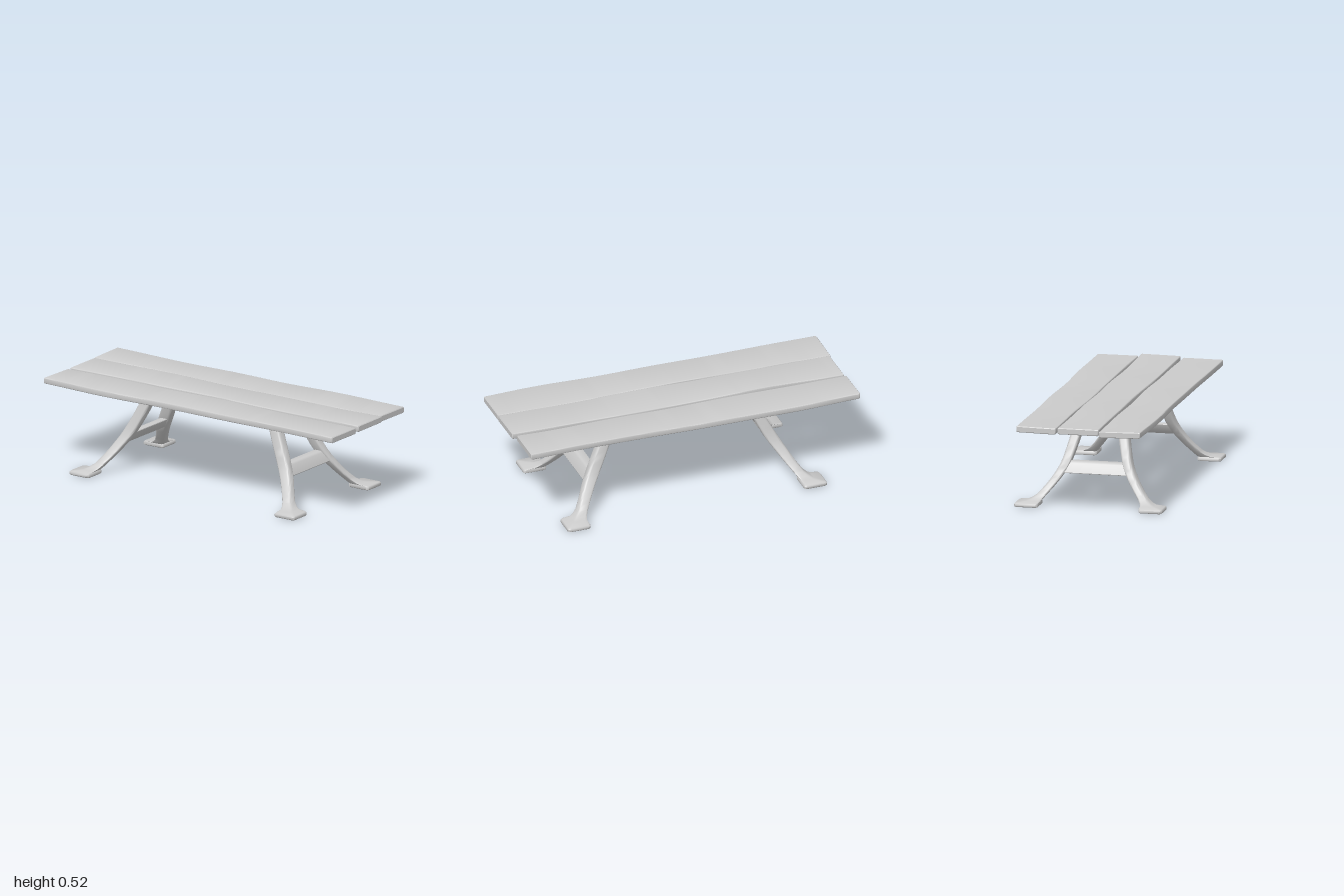
import * as THREE from 'three';
import { toCreasedNormals } from 'three/addons/utils/BufferGeometryUtils.js';

const material = new THREE.MeshStandardMaterial({ color: 0xcccccc });

// Rectangle outline with rounded corners, as counter-clockwise [u, v] points
function roundedRect(u0, u1, v0, v1, r, steps = 3) {
  const pts = [];
  const corners = [[u1 - r, v1 - r], [u0 + r, v1 - r], [u0 + r, v0 + r], [u1 - r, v0 + r]];
  corners.forEach(([u, v], k) => {
    for (let i = 0; i <= steps; i++) {
      const a = (k + i / steps) * Math.PI / 2;
      pts.push([u + r * Math.cos(a), v + r * Math.sin(a)]);
    }
  });
  return pts;
}

// Closed skin through rings of [x, y, z] points, capped at both ends
function loft(name, rings, crease = 0.6) {
  const n = rings[0].length, last = (rings.length - 1) * n, index = [];
  for (let i = 0; i < rings.length - 1; i++) {
    for (let j = 0; j < n; j++) {
      const a = i * n + j, b = i * n + (j + 1) % n;
      index.push(a, b, b + n, a, b + n, a + n);
    }
  }
  for (let j = 1; j < n - 1; j++) index.push(0, j + 1, j, last, last + j, last + j + 1);
  const geo = new THREE.BufferGeometry();
  geo.setAttribute('position', new THREE.Float32BufferAttribute(rings.flat(2), 3));
  geo.setIndex(index);
  const mesh = new THREE.Mesh(toCreasedNormals(geo, crease), material);
  mesh.name = name;
  return mesh;
}

// Hand-hewn board along x, with gently wandering edges and faces
function plank(name, x0, x1, z0, z1, y0, y1, seed) {
  const rings = [], steps = 48, inset = 0.004;
  const wave = (x, f, p) => Math.sin(x * f + p + seed) * 0.6 + Math.sin(x * f * 2.1 + p * 2 - seed) * 0.4;
  const section = (x, d) => {
    const rise = 0.0025 * wave(x, 4, 1);
    const a = z0 + 0.004 * wave(x, 5, 2) + d, b = z1 + 0.004 * wave(x, 4.5, 4) - d;
    return roundedRect(y0 + d, y1 - d, a, b, 0.006).map(([y, z]) => {
      const across = (z - z0) / (z1 - z0) - 0.5;
      return [x, y + rise + across * 0.006 * wave(x, 3.5, 5), z];
    });
  };
  rings.push(section(x0, inset));
  for (let i = 0; i <= steps; i++) {
    rings.push(section(THREE.MathUtils.lerp(x0 + inset, x1 - inset, i / steps), 0));
  }
  rings.push(section(x1, inset));
  return loft(name, rings);
}

// Leg heights with inner and outer limits: [y, x inner, x outer, z inner, z outer]
const legProfile = [
  [0.055, 0.618, 0.68, 0.265, 0.322], [0.1, 0.585, 0.648, 0.228, 0.282],
  [0.165, 0.54, 0.61, 0.182, 0.236], [0.24, 0.492, 0.567, 0.146, 0.2],
  [0.36, 0.432, 0.505, 0.112, 0.17], [0.474, 0.385, 0.455, 0.08, 0.149],
];
const footProfile = [
  [0, 0.644, 0.774, 0.296, 0.424], [0.004, 0.64, 0.778, 0.291, 0.428],
  [0.017, 0.64, 0.778, 0.291, 0.428], [0.023, 0.645, 0.772, 0.292, 0.422],
  [0.027, 0.642, 0.722, 0.288, 0.372], [0.037, 0.632, 0.703, 0.28, 0.347],
];

// Curved leg that flares out into a flat foot
function leg(sx, sz) {
  const curve = t => {
    const k = Math.min(Math.floor(t), legProfile.length - 2), f = t - k;
    const at = i => legProfile[THREE.MathUtils.clamp(i, 0, legProfile.length - 1)];
    return at(k).map((p, c) => {
      const q = at(k + 1)[c], m0 = (q - at(k - 1)[c]) / 2, m1 = (at(k + 2)[c] - p) / 2;
      return p + f * (m0 + f * (3 * (q - p) - 2 * m0 - m1 + f * (2 * (p - q) + m0 + m1)));
    });
  };
  const levels = [...footProfile];
  for (let i = 0; i <= 20; i++) levels.push(curve(i / 4));
  const rings = levels.map(([y, x0, x1, z0, z1]) => {
    const hx = (x1 - x0) / 2, hz = (z1 - z0) / 2, cx = sx * (x0 + hx), cz = sz * (z0 + hz);
    return roundedRect(-hz, hz, -hx, hx, 0.014).map(([z, x]) => [cx + x, y, cz + z]);
  });
  return loft('leg', rings, 0.9);
}

// Crossbar between the two legs of one trestle, leaning with them
function crossbar(sx) {
  const ring = s => roundedRect(-0.026, 0.026, 0.168, 0.232, 0.01)
    .map(([x, y]) => [sx * (0.552 - (y - 0.2) * 0.65) + x, y, s * (0.19 - (y - 0.2) * 0.5)]);
  return loft('crossbar', [ring(-1), ring(1)]);
}

export function createModel() {
  const model = new THREE.Group();
  model.name = 'table';

  const top = new THREE.Group();
  top.name = 'tableTop';
  top.add(
    plank('frontPlank', -1, 0.995, 0.122, 0.358, 0.477, 0.512, 0.4),
    plank('middlePlank', -0.99, 1, -0.119, 0.111, 0.481, 0.517, 2.1),
    plank('backPlank', -1, 0.977, -0.363, -0.131, 0.477, 0.512, 4.3),
  );
  model.add(top);

  for (const sx of [-1, 1]) {
    const trestle = new THREE.Group();
    trestle.name = sx > 0 ? 'leftTrestle' : 'rightTrestle';
    for (const sz of [-1, 1]) trestle.add(leg(sx, sz));
    trestle.add(crossbar(sx));
    // Mounting plate under the planks
    const plate = new THREE.Mesh(new THREE.BoxGeometry(0.085, 0.014, 0.304), material);
    plate.name = 'mountingPlate';
    plate.position.set(sx * 0.42, 0.476, 0);
    trestle.add(plate);
    model.add(trestle);
  }
  return model;
}
